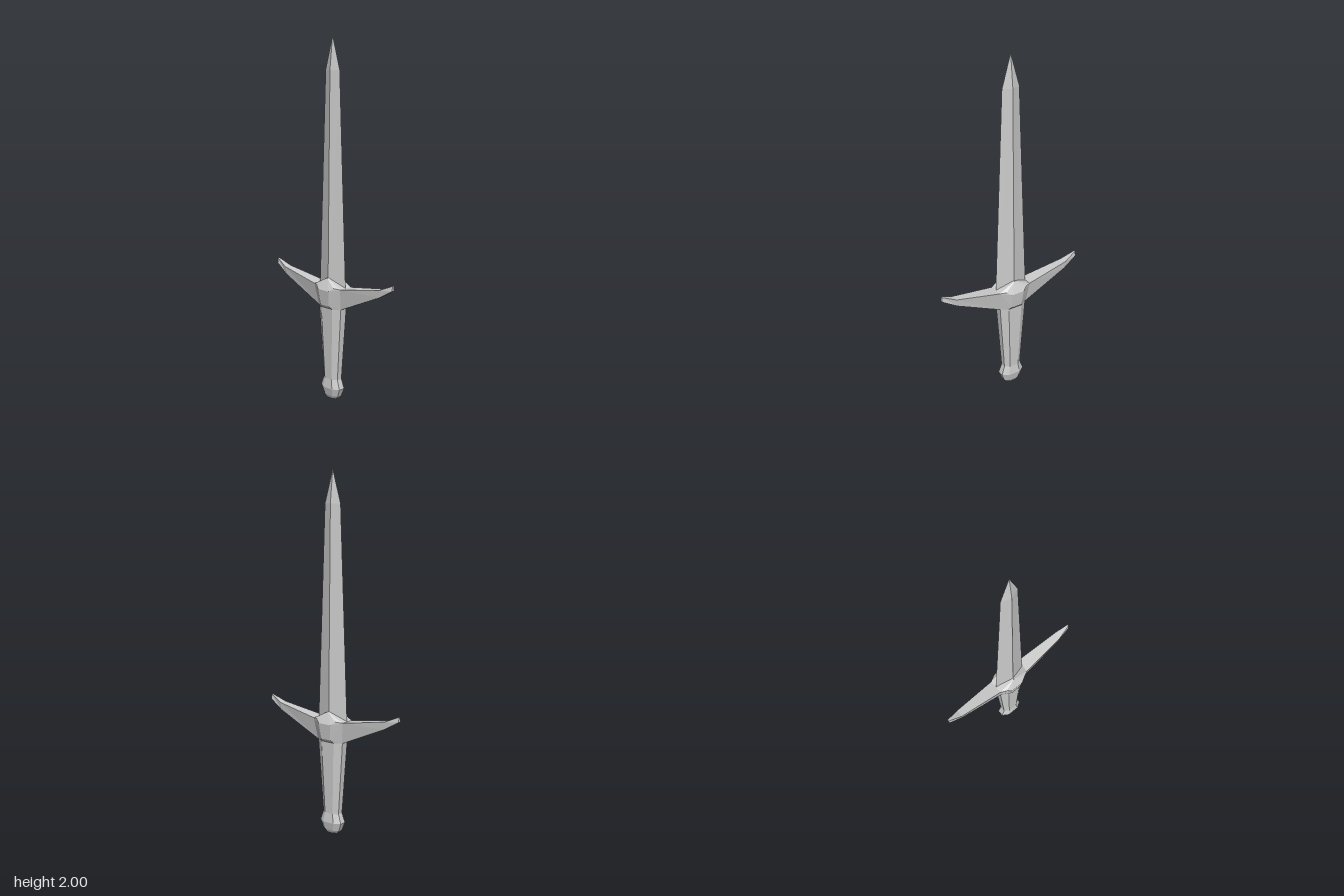
import * as THREE from 'three';
import { ConvexGeometry } from 'three/addons/geometries/ConvexGeometry.js';

const material = new THREE.MeshStandardMaterial({ color: 0xcccccc, flatShading: true });

function addMesh(parent, name, geometry) {
  const mesh = new THREE.Mesh(geometry, material);
  mesh.name = name;
  parent.add(mesh);
  return mesh;
}

// Joins equal-length rings (counter-clockwise seen from the end they run towards) and caps both ends.
function loft(rings) {
  const positions = [];
  const tri = (a, b, c) => positions.push(...a, ...b, ...c);
  const n = rings[0].length;
  for (let r = 0; r < rings.length - 1; r++) {
    for (let i = 0; i < n; i++) {
      const j = (i + 1) % n;
      const [a, b] = [rings[r], rings[r + 1]];
      tri(a[i], a[j], b[j]);
      tri(a[i], b[j], b[i]);
    }
  }
  const last = rings[rings.length - 1];
  for (let i = 1; i < n - 1; i++) {
    tri(rings[0][0], rings[0][i + 1], rings[0][i]);
    tri(last[0], last[i], last[i + 1]);
  }
  const geometry = new THREE.BufferGeometry();
  geometry.setAttribute('position', new THREE.Float32BufferAttribute(positions, 3));
  geometry.computeVertexNormals();
  return geometry;
}

// Horizontal sections at height y, half width w and half depth d
const diamond = ([y, w, d]) => [[w, y, 0], [0, y, -d], [-w, y, 0], [0, y, d]];
const octagon = ([y, w, d]) => {
  const a = w * 0.5, b = d * 0.45;
  return [[w, y, b], [w, y, -b], [a, y, -d], [-a, y, -d],
    [-w, y, -b], [-w, y, b], [-a, y, d], [a, y, d]];
};

// Trapezoid section of a guard arm at x
const armSection = ([x, bottom, top, zBottom, zTop, xBottom = x]) => [
  [xBottom, bottom, zBottom], [xBottom, bottom, -zBottom], [x, top, -zTop], [x, top, zTop],
];

export function createModel() {
  const dagger = new THREE.Group();
  dagger.name = 'dagger';

  // Blade with a central ridge and a pointed tip
  addMesh(dagger, 'blade', loft([
    [0.6, 0.101, 0.036], [1.82, 0.053, 0.02], [2, 0.0005, 0.0005],
  ].map(diamond)));

  // Tapered grip
  addMesh(dagger, 'grip', loft([
    [0.11, 0.053, 0.035], [0.54, 0.085, 0.047],
  ].map(octagon)));

  // Flared pommel with a slightly hollow underside
  addMesh(dagger, 'pommel', loft([
    [0.016, 0.022, 0.012], [0.002, 0.038, 0.024], [0.02, 0.055, 0.032],
    [0.065, 0.072, 0.042], [0.12, 0.053, 0.035],
  ].map(octagon)));

  // Faceted centre of the guard
  const guard = new THREE.Group();
  guard.name = 'guard';
  dagger.add(guard);
  const corners = [
    [0, 0.7, 0.042], [0.065, 0.655, 0.06], [0.04, 0.635, 0.073], [0.1, 0.65, 0.042],
    [0.085, 0.53, 0.024], [0.03, 0.547, 0.062], [0.045, 0.53, 0.048],
  ];
  const points = [];
  for (const [x, y, z] of corners) {
    for (const sx of x === 0 ? [1] : [1, -1]) {
      for (const sz of [1, -1]) points.push(new THREE.Vector3(sx * x, y, sz * z));
    }
  }
  addMesh(guard, 'guardCentre', new ConvexGeometry(points));

  // Upswept guard arms
  const armGeometry = loft([
    [0.1, 0.53, 0.65, 0.024, 0.042, 0.085],
    [0.365, 0.652, 0.695, 0.018, 0.022, 0.36],
    [0.445, 0.702, 0.73, 0.009, 0.005],
  ].map(armSection));
  addMesh(guard, 'leftArm', armGeometry);
  addMesh(guard, 'rightArm', armGeometry).rotation.y = Math.PI;

  return dagger;
}
